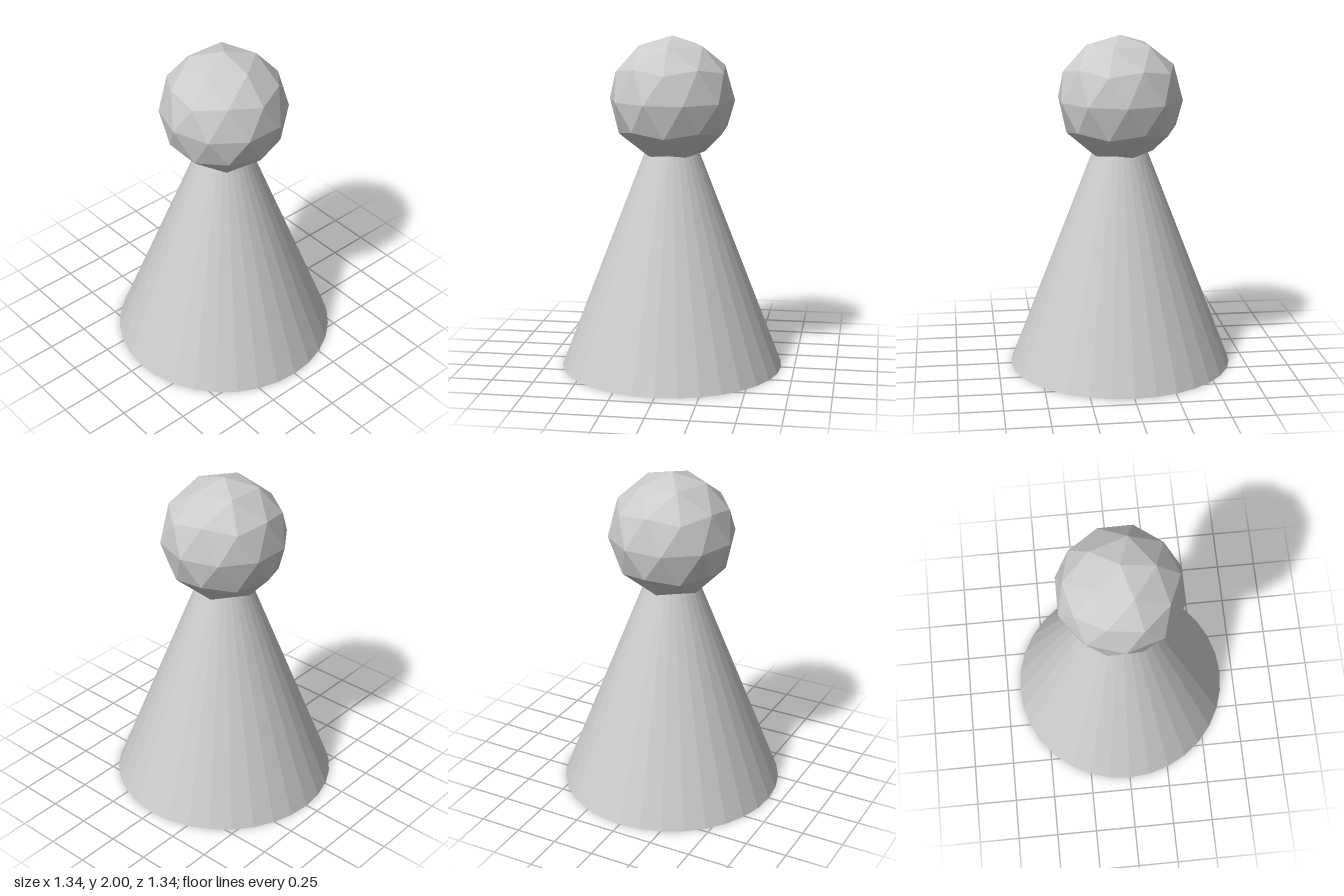
import * as THREE from 'three';

export function createModel() {
  const group = new THREE.Group();
  const material = new THREE.MeshStandardMaterial({ color: 0xcccccc, flatShading: true });

  const add = (name, geometry, y) => {
    const mesh = new THREE.Mesh(geometry, material);
    mesh.name = name;
    mesh.position.y = y;
    group.add(mesh);
  };

  // Conical body; its tip is buried in the head
  const bodyHeight = 1.73;
  add('body', new THREE.ConeGeometry(0.67, bodyHeight, 32), bodyHeight / 2);

  // Faceted ball head, tilted so one icosahedron corner points straight up
  const headRadius = 0.375;
  const head = new THREE.IcosahedronGeometry(headRadius, 1);
  head.rotateZ(-Math.atan(2 / (1 + Math.sqrt(5))));
  add('head', head, 2 - headRadius);

  return group;
}
